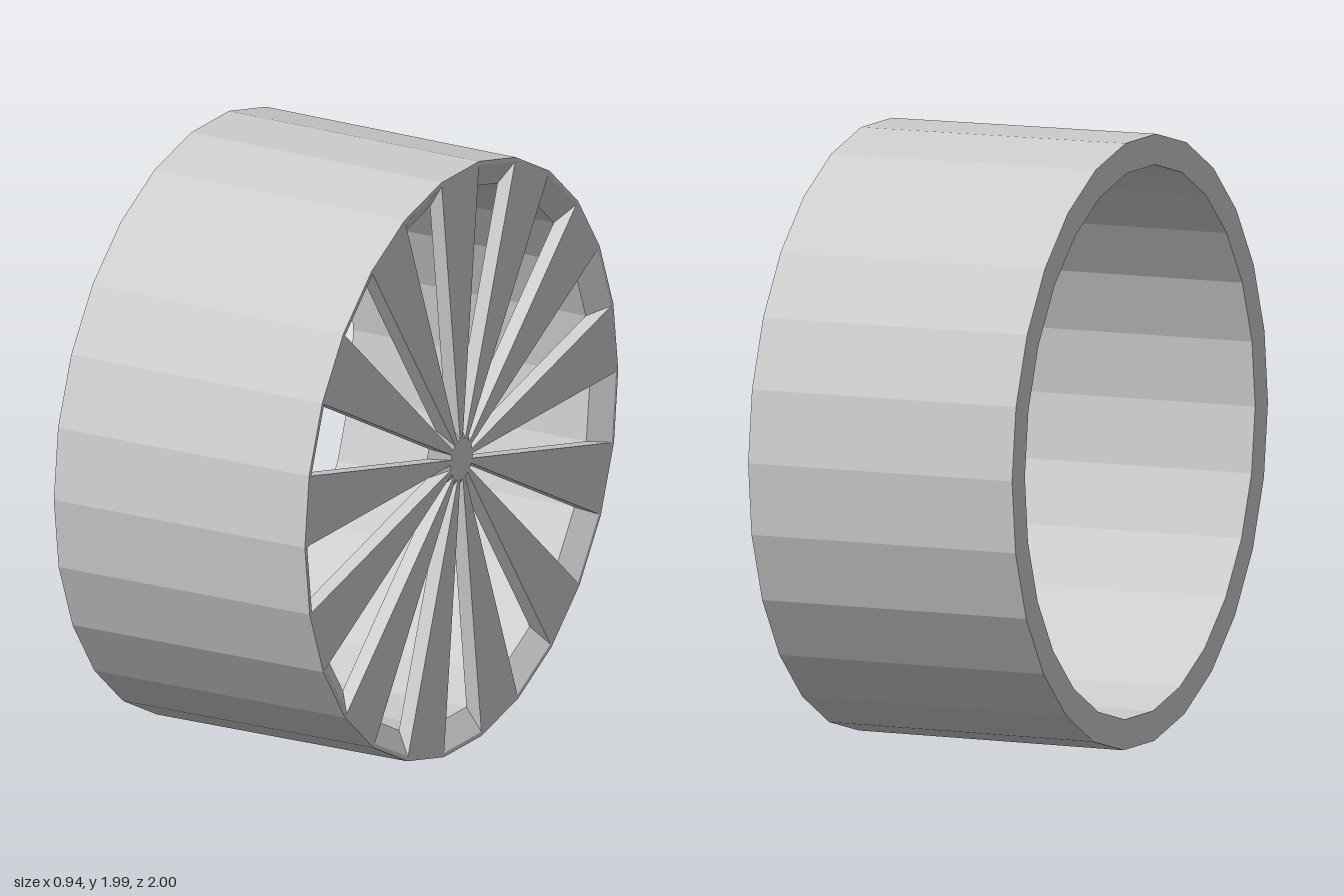
import * as THREE from 'three';
import { ConvexGeometry } from 'three/addons/geometries/ConvexGeometry.js';

const SIDES = 26;
const STEP = (Math.PI * 2) / SIDES;
const BACK = -0.475, FACE = 0.467, SPOKE_BACK = 0.417;
const RIM_FRONT = 0.98, RIM_INNER = 0.9;   // opening radius at the face and behind it
const HUB_FRONT = 0.07, HUB_BACK = 0.14;

export function createModel() {
  const grey = new THREE.MeshStandardMaterial({ color: 0xcccccc, flatShading: true });
  grey.name = 'plain grey';
  const wheel = new THREE.Group();
  wheel.name = 'wheel';

  const add = (name, geometry) => {
    const mesh = new THREE.Mesh(geometry, grey);
    mesh.name = name;
    wheel.add(mesh);
  };

  // Rim: closed profile turned around the axle, bevelled inside at the spoked face
  const profile = [
    [1.0, BACK], [0.994, FACE], [RIM_FRONT, FACE],
    [RIM_INNER, SPOKE_BACK], [RIM_INNER, BACK], [1.0, BACK],
  ].map(([r, x]) => new THREE.Vector2(r, x));
  add('rim', new THREE.LatheGeometry(profile, SIDES).rotateZ(-Math.PI / 2));

  // Hub: small cone-sided disc joining the spokes
  const hub = new THREE.CylinderGeometry(HUB_FRONT, HUB_BACK, FACE - SPOKE_BACK, SIDES);
  hub.rotateZ(-Math.PI / 2).translate((FACE + SPOKE_BACK) / 2, 0, 0);
  add('hub', hub);

  // Spokes: wedges filling every second side of the rim
  const point = (r, a, x) => new THREE.Vector3(x, r * Math.sin(a), r * Math.cos(a));
  for (let i = 0; i < SIDES / 2; i++) {
    const corners = [];
    for (const a of [2 * i * STEP, (2 * i + 1) * STEP]) {
      corners.push(
        point(HUB_FRONT, a, FACE), point(RIM_FRONT, a, FACE),
        point(HUB_BACK, a, SPOKE_BACK), point(RIM_INNER, a, SPOKE_BACK),
      );
    }
    add('spoke', new ConvexGeometry(corners));
  }

  // Stand the wheel on the ground with its slight roll
  wheel.rotation.x = 0.008;
  wheel.position.y = 0.996;
  const model = new THREE.Group();
  model.name = 'spokedWheel';
  model.add(wheel);
  return model;
}
